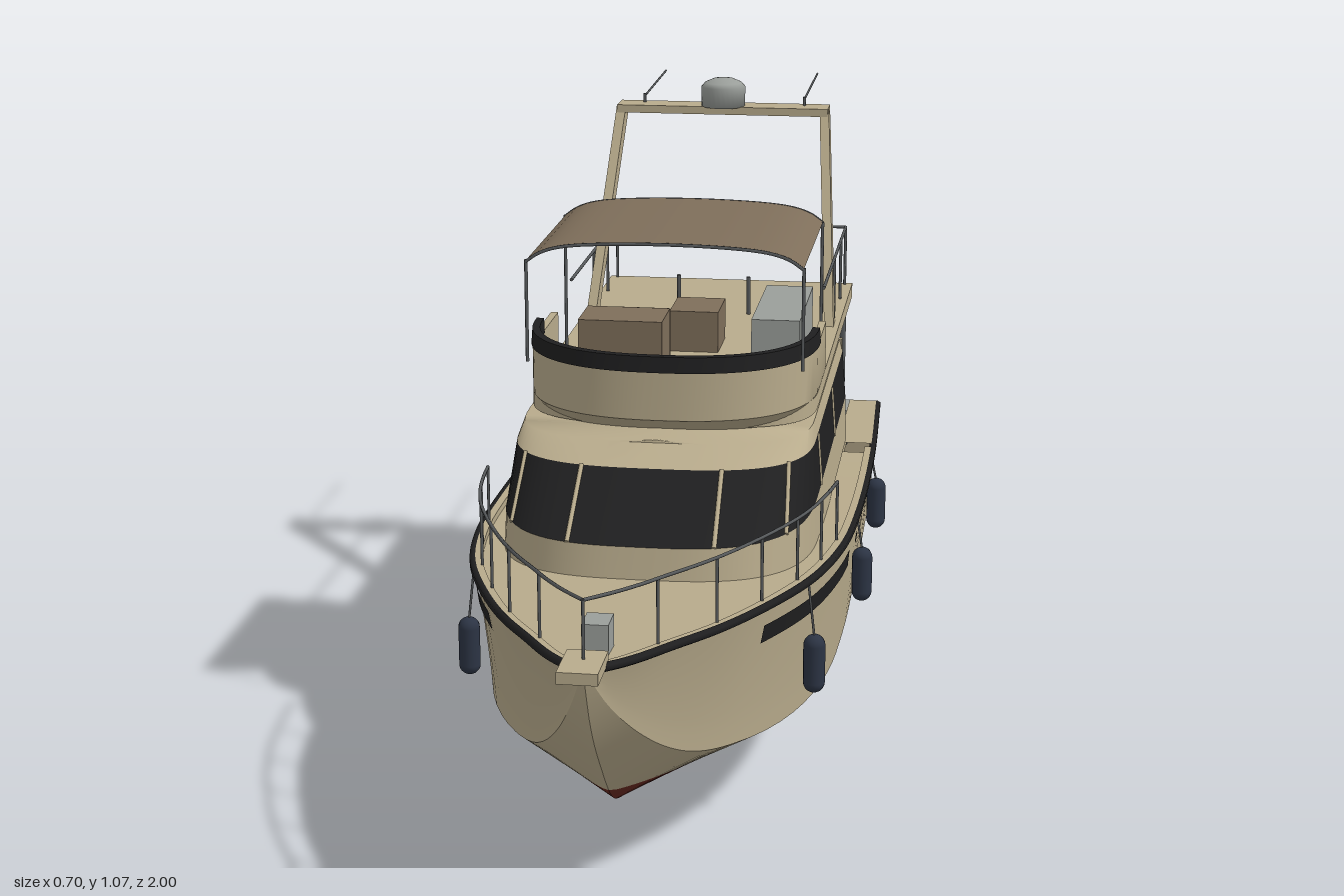
import * as THREE from 'three';
import { toCreasedNormals } from 'three/addons/utils/BufferGeometryUtils.js';

const paint = (name, color) => new THREE.MeshStandardMaterial({ name, color, side: THREE.DoubleSide });
const V = (x, y, z) => new THREE.Vector3(x, y, z);
const clamp = THREE.MathUtils.clamp;

// hull lines at each z: keel y, chine x, chine y, sheer x, sheer y
const stations = [
  [-0.86, 0.075, 0.295, 0.165, 0.305, 0.375], [-0.4, 0.068, 0.3, 0.17, 0.32, 0.388],
  [0, 0.065, 0.3, 0.175, 0.32, 0.406], [0.2, 0.07, 0.288, 0.178, 0.31, 0.418],
  [0.4, 0.085, 0.25, 0.19, 0.278, 0.432], [0.55, 0.11, 0.195, 0.207, 0.23, 0.443],
  [0.7, 0.16, 0.122, 0.245, 0.166, 0.455], [0.8, 0.25, 0.073, 0.305, 0.11, 0.464],
  [0.9, 0.37, 0.026, 0.4, 0.048, 0.472], [0.95, 0.47, 0, 0.474, 0, 0.476],
];
const lines = new THREE.CubicInterpolant(stations.map(s => s[0]), stations.flatMap(s => s.slice(1)), 5, []);
const hullAt = z => { const [ky, cx, cy, sx, sy] = lines.evaluate(z); return { ky, cx, cy, sx, sy }; };
const range = (a, b, n) => Array.from({ length: n + 1 }, (_, i) => a + (b - a) * i / n);
const topsideX = (h, z, s) => h.cx + (h.sx - h.cx) * Math.pow(clamp(s, 0, 1), 1 + 0.6 * clamp(z, 0, 1));
const rake = y => -0.82 - (0.376 - y) * 0.13;

// surface through rows of points
function grid(rows, crease = 0.6) {
  const n = rows[0].length, index = [];
  for (let i = 0; i < rows.length - 1; i++)
    for (let j = 0; j < n - 1; j++) {
      const a = i * n + j, c = a + n;
      index.push(a, a + 1, c, a + 1, c + 1, c);
    }
  const g = new THREE.BufferGeometry();
  g.setAttribute('position', new THREE.Float32BufferAttribute(rows.flat().flatMap(p => [p.x, p.y, p.z]), 3));
  g.setIndex(index);
  return toCreasedNormals(g, crease);
}

// plan outline: straight sides with a rounded front
function ring(y, w, back, start, front, e = 3) {
  const pts = [V(w, y, back)];
  for (const t of range(0, Math.PI, 40)) {
    const c = Math.cos(t), s = Math.max(0, Math.sin(t));
    pts.push(V(w * Math.sign(c) * Math.abs(c) ** (2 / e), y, start + (front - start) * s ** (2 / e)));
  }
  pts.push(V(-w, y, back));
  return pts;
}

export function createModel() {
  const boat = new THREE.Group();
  boat.name = 'motorYacht';
  const cream = paint('cream', 0xb8ab8c), red = paint('bottomRed', 0x682a20), black = paint('black', 0x1f1f20);
  const brown = paint('brown', 0x7e6e5a), grey = paint('grey', 0x9a9e9a), steel = paint('steel', 0x56595b);
  const navy = paint('navy', 0x2c3444);

  const add = (name, geo, mat, x = 0, y = 0, z = 0) => {
    const m = new THREE.Mesh(geo, mat);
    m.name = name;
    m.position.set(x, y, z);
    boat.add(m);
    return m;
  };
  const box = (name, mat, x0, x1, y0, y1, z0, z1) => add(name, new THREE.BoxGeometry(x1 - x0, y1 - y0, z1 - z0),
    mat, (x0 + x1) / 2, (y0 + y1) / 2, (z0 + z1) / 2);
  const stretch = (name, geo, mat, a, b) => {
    const m = add(name, geo, mat, ...a.clone().add(b).multiplyScalar(0.5));
    m.quaternion.setFromUnitVectors(V(0, 1, 0), b.clone().sub(a).normalize());
    return m;
  };
  const bar = (name, mat, a, b, r) => stretch(name, new THREE.CylinderGeometry(r, r, a.distanceTo(b), 8), mat, a, b);
  const rod = (name, mat, pts, r, n = 48) =>
    add(name, new THREE.TubeGeometry(new THREE.CatmullRomCurve3(pts), n, r, 6), mat);
  const both = fn => [-1, 1].forEach(fn);

  // hull sides and bottom
  const zs = [...range(-0.82, 0.6, 28), ...range(0.62, 0.95, 22)];
  const place = (s, x, y, z) => V(s * x, y, z === -0.82 ? rake(y) : z);
  both(s => {
    const bottom = [], chine = [], side = [];
    for (const z of zs) {
      const h = hullAt(z), wl = clamp(0.176 + 0.014 * z, h.ky, Math.max(h.ky, h.cy));
      const k = h.cy > h.ky ? (wl - h.ky) / (h.cy - h.ky) : 0;
      bottom.push([place(s, 0, h.ky, z), place(s, h.cx * k, wl, z)]);
      chine.push([place(s, h.cx * k, wl, z), place(s, h.cx, h.cy, z)]);
      side.push(range(0, 1, 8).map(t => place(s, topsideX(h, z, t), h.cy + (h.sy - h.cy) * t, z)));
    }
    add('hullBottom', grid(bottom), red);
    add('hullChine', grid(chine), cream);
    add('hullSide', grid(side), cream);
    rod('rubRail', black, zs.map(z => { const h = hullAt(z); return V(s * (h.sx + 0.001), h.sy - 0.006, z); }), 0.0075, 90);
  });

  // transom with open centre
  const st = hullAt(-0.82);
  const across = (x, y) => [V(-x, y, rake(y)), V(x, y, rake(y))];
  add('transomBottom', grid([across(0, st.ky), across(st.cx, st.cy)]), red);
  add('transom', grid([across(st.cx, st.cy), across(st.cx + 0.006, 0.3)]), cream);
  both(s => add('transomCheek', grid([0.3, st.sy].map(y => [V(s * 0.25, y, rake(y)), V(s * st.sx, y, rake(y))])), cream));

  // decks
  const mirrored = half => [...half, ...half.map(p => V(-p.x, p.y, p.z)).reverse()];
  add('deck', grid(zs.filter(z => z > -0.51).map(z => {
    const h = hullAt(z), inner = Math.max(0, h.sx - 0.014);
    return mirrored([V(h.sx, h.sy, z), V(inner, h.sy, z), V(inner, h.sy - 0.012, z)]);
  })), cream);
  add('cockpit', grid(range(-0.825, -0.49, 6).map(z => {
    const h = hullAt(z);
    return mirrored([V(h.sx, h.sy, z), V(0.25, h.sy, z), V(0.25, 0.305, z)]);
  })), cream);
  box('cockpitBench', grey, -0.25, 0.25, 0.295, 0.37, -0.845, -0.765);
  box('swimPlatform', brown, -0.265, 0.265, 0.225, 0.245, -1, -0.84);

  // hull windows follow the topside
  const patch = (s, z0, z1, top, low, oval) => add('hullWindow', grid(range(0, 1, 20).map(u => {
    const z = z0 + (z1 - z0) * u, h = hullAt(z), k = oval ? Math.sqrt(Math.max(0, 1 - (2 * u - 1) ** 2)) : 1;
    const mid = (top + low) / 2, half = (top - low) / 2 * k;
    return [1, 0, -1].map(q => {
      const y = h.sy + mid + q * half;
      return V(s * (topsideX(h, z, (y - h.cy) / (h.sy - h.cy)) + 0.004), y, z);
    });
  })), black);
  both(s => {
    patch(s, 0.1, 0.57, -0.039, -0.069, false);
    patch(s, -0.044, -0.006, -0.042, -0.062, true);
    patch(s, -0.154, -0.116, -0.042, -0.06, true);
  });

  // cabin
  const base = ring(0.39, 0.266, -0.5, 0.1, 0.445), sill = ring(0.475, 0.263, -0.5, 0.1, 0.43);
  const head = ring(0.567, 0.256, -0.5, 0.08, 0.3), eave = ring(0.592, 0.25, -0.5, 0.05, 0.235);
  add('cabinWall', grid([base, sill]), cream);
  add('cabinGlass', grid([sill, head]), black);
  add('cabinRoof', grid([head, eave, eave.map(p => V(0, 0.597, p.z))], 1), cream);
  box('cabinAftWall', cream, -0.255, 0.255, 0.305, 0.592, -0.503, -0.493);
  for (const i of [9, 17, 25, 33]) bar('windscreenMullion', cream, sill[i], head[i], 0.004);
  both(s => [0.06, -0.235].forEach(z => bar('sideMullion', cream, V(s * 0.262, 0.475, z), V(s * 0.255, 0.567, z), 0.004)));

  // flybridge deck, coaming and trim
  const plan = new THREE.Shape(ring(0, 0.25, -0.825, -0.02, 0.15).map(p => new THREE.Vector2(p.x, p.z)));
  add('flybridgeDeck', new THREE.ExtrudeGeometry(plan, { depth: 0.028, bevelEnabled: false }).rotateX(Math.PI / 2), cream, 0, 0.624, 0);
  const wall = (name, mat, back, spec) =>
    add(name, grid(spec.map(([y, w, f]) => ring(y, w, back, -0.02, f, 2.4))), mat);
  wall('flybridgeCoaming', cream, -0.155, [[0.588, 0.23, 0.15], [0.625, 0.25, 0.215], [0.712, 0.25, 0.215], [0.712, 0.237, 0.202], [0.62, 0.237, 0.202]]);
  wall('flybridgeTrim', black, -0.015, [[0.708, 0.252, 0.218], [0.735, 0.25, 0.215], [0.735, 0.237, 0.2], [0.708, 0.236, 0.2]]);
  box('helmConsole', brown, -0.155, -0.01, 0.62, 0.765, 0, 0.1);
  box('helmSeat', brown, -0.13, -0.035, 0.62, 0.72, -0.18, -0.09);
  box('aftSeat', brown, -0.045, 0.045, 0.62, 0.7, -0.35, -0.24);
  box('flybridgeBench', grey, 0.13, 0.215, 0.62, 0.745, -0.28, -0.02);

  // sun canopy on poles
  const canopyY = u => 0.912 - 0.012 * u * u - 0.024 * u ** 8;
  add('canopy', grid(range(-0.235, 0.145, 4).map(z => range(-1, 1, 24).map(u => V(u * 0.235, canopyY(u), z)))), brown);
  for (const z of [-0.235, 0.145]) rod('canopyFrame', steel, range(-1, 1, 24).map(u => V(u * 0.235, canopyY(u) - 0.002, z)), 0.003);
  both(s => {
    bar('canopyPole', steel, V(s * 0.235, 0.7, 0.143), V(s * 0.235, 0.877, 0.143), 0.003);
    bar('canopyPole', steel, V(s * 0.235, 0.62, -0.225), V(s * 0.235, 0.877, -0.225), 0.003);
  });

  // radar arch, dome and whip aerials
  both(s => {
    const a = V(s * 0.232, 0.61, -0.475), b = V(s * 0.2, 1.0, -0.675);
    stretch('archLeg', new THREE.BoxGeometry(0.018, a.distanceTo(b), 0.038), cream, a, b);
    bar('aerialBase', steel, V(s * 0.158, 1.005, -0.69), V(s * 0.158, 1.027, -0.69), 0.003);
    bar('aerial', steel, V(s * 0.158, 1.022, -0.69), V(s * 0.158, 1.028, -0.985), 0.002);
  });
  box('archBeam', cream, -0.207, 0.207, 0.995, 1.01, -0.71, -0.65);
  add('radarDome', new THREE.LatheGeometry([[0, 0], [0.043, 0], [0.043, 0.038], [0.036, 0.046], [0.02, 0.053], [0, 0.056]]
    .map(p => new THREE.Vector2(...p)), 28), grey, 0, 1.009, -0.675);

  // flybridge rails and overhang posts
  both(s => {
    bar('flybridgeRail', steel, V(s * 0.235, 0.743, -0.28), V(s * 0.235, 0.743, -0.815), 0.003);
    bar('flybridgeRail', steel, V(s * 0.235, 0.743, -0.815), V(s * 0.135, 0.743, -0.815), 0.003);
    for (const z of [-0.53, -0.69, -0.815]) bar('flybridgeStanchion', steel, V(s * 0.235, 0.62, z), V(s * 0.235, 0.743, z), 0.003);
    bar('overhangPost', steel, V(s * 0.235, 0.305, -0.79), V(s * 0.235, 0.6, -0.79), 0.006);
  });

  // ladder
  const ladder = y => -0.53 - (0.7 - y) * 0.12;
  both(s => bar('ladderRail', steel, V(s * 0.068, 0.305, ladder(0.305)), V(s * 0.068, 0.7, ladder(0.7)), 0.004));
  for (const y of range(0.35, 0.56, 4)) box('ladderStep', brown, -0.068, 0.068, y - 0.004, y + 0.004, ladder(y) - 0.014, ladder(y) + 0.014);

  // bow rail, pulpit and windlass
  const railAt = (s, z) => V(s * Math.max(0, hullAt(z).sx - 0.012), 0.52 + (z - 0.18) * 0.073, z);
  both(s => {
    const stops = range(0.18, 0.945, 6);
    rod('bowRail', steel, range(0.18, 0.945, 16).map(z => railAt(s, z)), 0.003);
    for (const z of stops) bar('bowStanchion', steel, railAt(s, z).setY(hullAt(z).sy - 0.01), railAt(s, z), 0.0025);
  });
  box('pulpit', cream, -0.03, 0.03, 0.469, 0.487, 0.91, 1);
  box('windlass', grey, -0.02, 0.02, 0.45, 0.502, 0.8, 0.85);

  // fenders
  both(s => [0.42, -0.015, -0.42].forEach(z => {
    const h = hullAt(z), x = s * (h.sx + 0.012);
    add('fender', new THREE.CapsuleGeometry(0.018, 0.064, 5, 14), navy, x, 0.287, z);
    bar('fenderLine', steel, V(x, 0.33, z), V(s * h.sx, h.sy, z), 0.002);
  }));

  // running gear
  box('keelStrip', red, -0.004, 0.004, 0.056, 0.075, -0.6, 0.06);
  both(s => {
    const x = s * 0.093;
    bar('propShaft', steel, V(x, 0.097, -0.03), V(x, 0.048, -0.635), 0.006);
    box('shaftStrut', grey, x - 0.004, x + 0.004, 0.05, 0.12, -0.54, -0.525);
    add('propHub', new THREE.CylinderGeometry(0.011, 0.011, 0.03, 12).rotateX(Math.PI / 2), grey, x, 0.05, -0.62);
    for (let i = 0; i < 4; i++) {
      const a = i * Math.PI / 2;
      const blade = add('propBlade', new THREE.BoxGeometry(0.034, 0.02, 0.006), grey, x + Math.cos(a) * 0.02, 0.05 + Math.sin(a) * 0.02, -0.62);
      blade.rotation.set(0, 0, a + Math.PI / 2);
    }
    box('rudder', red, x - 0.005, x + 0.005, 0, 0.14, -0.715, -0.652);
  });
  return boat;
}
